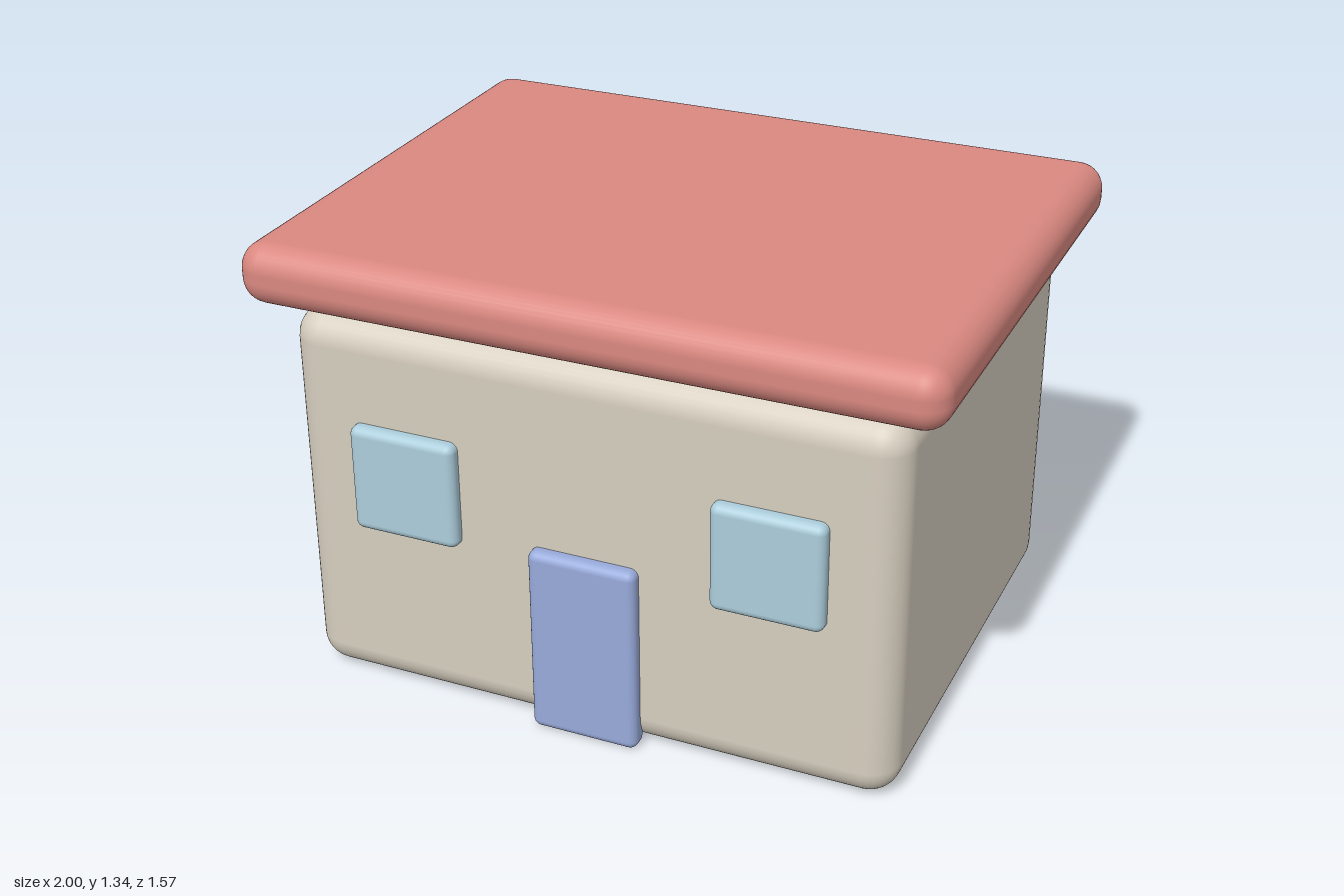
import * as THREE from 'three';
import { RoundedBoxGeometry } from 'three/addons/geometries/RoundedBoxGeometry.js';

function material(name, color) {
  const m = new THREE.MeshStandardMaterial({ color });
  m.name = name;
  return m;
}

export function createModel() {
  const house = new THREE.Group();
  house.name = 'house';

  const wallBeige = material('wall beige', 0xd6cebf);
  const roofRed = material('roof red', 0xd98880);
  const windowBlue = material('window blue', 0xaccddb);
  const doorBlue = material('door blue', 0x98aada);

  // Soft-edged block given by its size, centre and edge radius
  function block(name, [w, h, d], [x, y, z], radius, mat) {
    const mesh = new THREE.Mesh(new RoundedBoxGeometry(w, h, d, 4, radius), mat);
    mesh.name = name;
    mesh.position.set(x, y, z);
    house.add(mesh);
  }

  // Main volume and the flat roof floating just above it
  block('walls', [1.78, 1.14, 1.424], [0, 0.573, 0], 0.09, wallBeige);
  block('roof', [2, 0.178, 1.565], [0, 1.253, 0], 0.075, roofRed);

  // Door and windows stand slightly proud of the front wall
  block('door', [0.32, 0.572, 0.07], [0, 0.288, 0.715], 0.025, doorBlue);
  for (const [side, name] of [[1, 'leftWindow'], [-1, 'rightWindow']]) {
    block(name, [0.322, 0.32, 0.07], [side * 0.535, 0.683, 0.715], 0.025, windowBlue);
  }

  return house;
}
